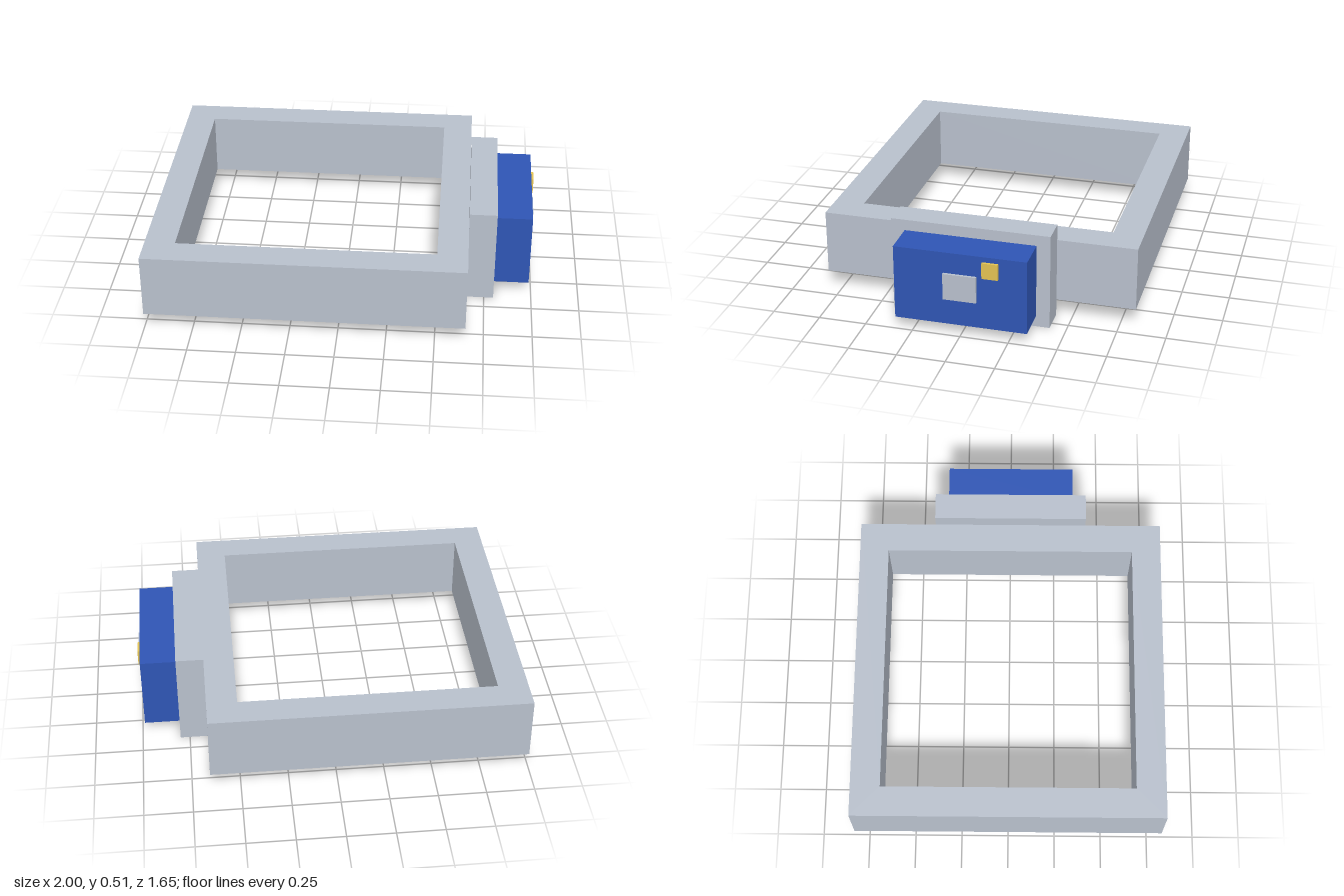
import * as THREE from 'three';

export function createModel() {
  const model = new THREE.Group();
  model.name = 'signetRing';

  const material = (name, color) => {
    const m = new THREE.MeshStandardMaterial({ color });
    m.name = name;
    return m;
  };
  const silver = material('silver', 0xb8c0cc);
  const darkSteel = material('darkSteel', 0x6b7588);
  const blue = material('blue', 0x2f55b4);
  const gold = material('gold', 0xe3c253);

  // Box given by its [min, max] extents on each axis, with an optional underside colour
  const block = (name, mat, [x0, x1], [y0, y1], [z0, z1], under = mat) => {
    const geometry = new THREE.BoxGeometry(x1 - x0, y1 - y0, z1 - z0);
    const mesh = new THREE.Mesh(geometry, [mat, mat, mat, under, mat, mat]);
    mesh.position.set((x0 + x1) / 2, (y0 + y1) / 2, (z0 + z1) / 2);
    mesh.name = name;
    model.add(mesh);
  };

  // Square band with a square opening, extruded upward
  const square = (Type, x0, x1, half) => new Type([
    new THREE.Vector2(x0, -half), new THREE.Vector2(x1, -half),
    new THREE.Vector2(x1, half), new THREE.Vector2(x0, half),
  ]);
  const outline = square(THREE.Shape, -1, 0.656, 0.827);
  outline.holes.push(square(THREE.Path, -0.842, 0.498, 0.67));
  const bandGeometry = new THREE.ExtrudeGeometry(outline, { depth: 0.34, bevelEnabled: false });
  bandGeometry.rotateX(-Math.PI / 2);

  // The first half of the cap group is the underside, which is dark
  const underCount = bandGeometry.groups[0].count / 2;
  const total = bandGeometry.attributes.position.count;
  bandGeometry.clearGroups();
  bandGeometry.addGroup(0, underCount, 1);
  bandGeometry.addGroup(underCount, total - underCount, 0);
  const band = new THREE.Mesh(bandGeometry, [silver, darkSteel]);
  band.position.y = 0.088;
  band.name = 'band';
  model.add(band);

  // Setting, stone and the small inlays on its face
  block('setting', silver, [0.656, 0.8], [0, 0.514], [-0.414, 0.414], darkSteel);
  block('stone', blue, [0.8, 0.986], [0.058, 0.456], [-0.343, 0.343]);
  block('centreInlay', silver, [0.986, 1], [0.201, 0.343], [-0.086, 0.086]);
  block('cornerInlay', gold, [0.986, 1], [0.343, 0.428], [-0.198, -0.115]);

  return model;
}
